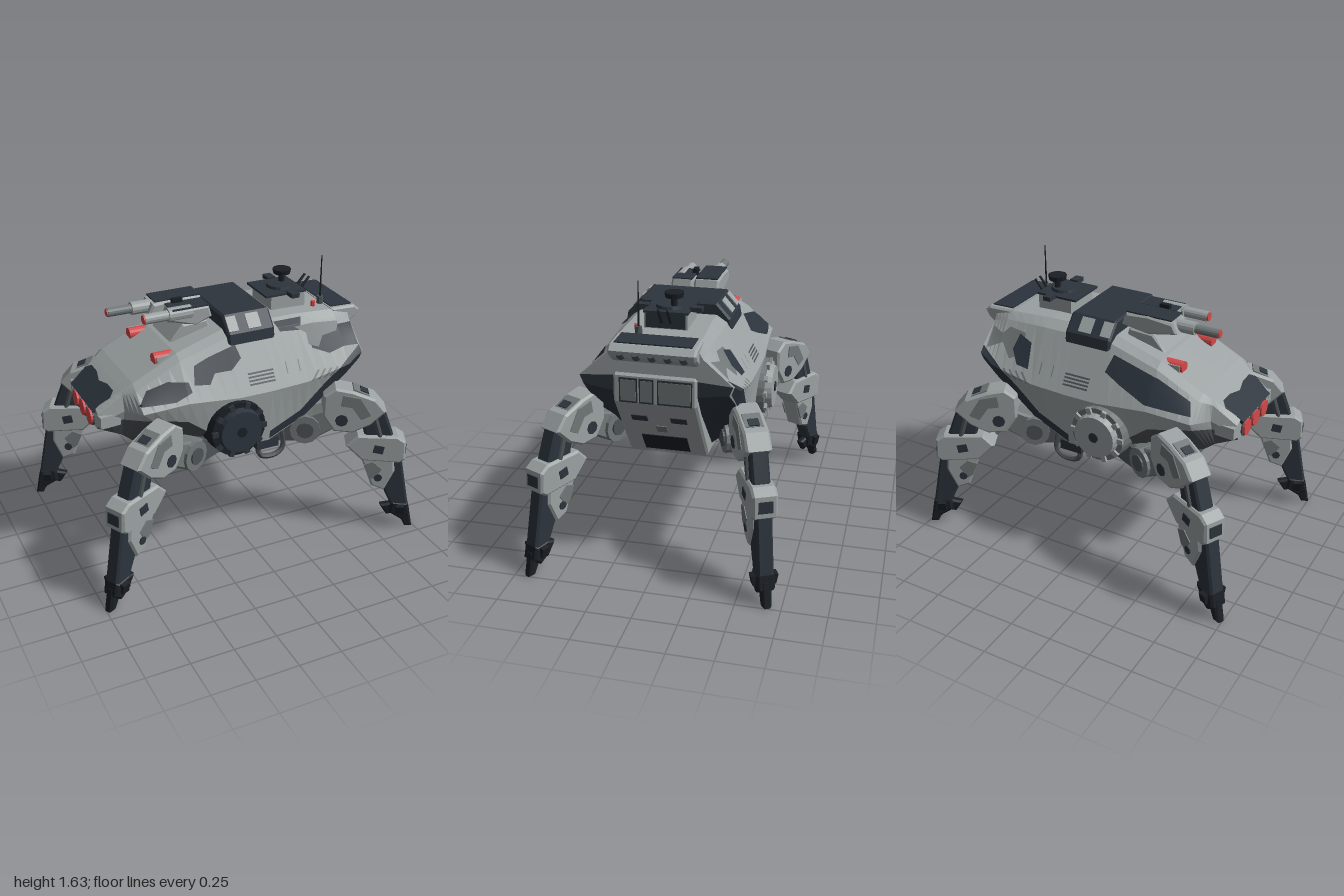
import * as THREE from 'three';

const mat = (name, color) => new THREE.MeshStandardMaterial({ name, color, flatShading: true });
const M = {
  light: mat('lightGrey', 0x9ca2a3), mid: mat('midGrey', 0x717777), steel: mat('steelGrey', 0x4d5356),
  dark: mat('darkSlate', 0x2c343d), black: mat('nearBlack', 0x1b2026), red: mat('signalRed', 0xd24a4b),
};

// Hull stations: x, then [half width, height] for roof, shoulder, waist, lower side, belly
const STATIONS = [
  [-0.84, [.19, .99], [.23, .97], [.24, .92], [.22, .89], [.20, .87]],
  [-0.70, [.23, 1.09], [.25, 1.07], [.27, .98], [.25, .92], [.20, .80]],
  [-0.64, [.25, 1.13], [.30, 1.10], [.41, 1.01], [.38, .96], [.20, .75]],
  [-0.38, [.25, 1.26], [.30, 1.23], [.43, 1.03], [.41, .91], [.22, .65]],
  [-0.08, [.22, 1.34], [.28, 1.31], [.45, 1.01], [.42, .68], [.25, .59]],
  [0.12, [.22, 1.35], [.28, 1.31], [.45, 1.01], [.42, .68], [.25, .59]],
  [0.35, [.22, 1.35], [.28, 1.31], [.45, 1.02], [.41, .78], [.22, .62]],
  [0.62, [.23, 1.34], [.27, 1.30], [.44, 1.07], [.41, 1.00], [.20, .90]],
  [0.72, [.23, 1.32], [.26, 1.27], [.42, 1.13], [.40, 1.08], [.20, 1.05]],
];

// Half cross-section at x, as [z, y] from roof centre to belly centre
function section(x) {
  let i = 0;
  while (i < STATIONS.length - 2 && x > STATIONS[i + 1][0]) i++;
  const a = STATIONS[i], b = STATIONS[i + 1];
  const t = THREE.MathUtils.clamp((x - a[0]) / (b[0] - a[0]), 0, 1);
  const p = a.slice(1).map((q, k) => q.map((v, j) => v + (b[k + 1][j] - v) * t));
  return [[0, p[0][1]], ...p, [0, p[4][1]]];
}
// Surface lookups: axis 1 gives z from height, axis 0 gives height from z
function lookup(x, value, axis) {
  const s = section(x);
  for (let k = axis; k < 5; k++) {
    const a = s[k][axis], b = s[k + 1][axis];
    if ((value - a) * (value - b) <= 0 && a !== b)
      return s[k][1 - axis] + (s[k + 1][1 - axis] - s[k][1 - axis]) * (value - a) / (b - a);
  }
  return axis ? s[1][0] : s[3][1];
}

function buildHull() {
  const pos = [[], [], []]; // light shell, dark rear undercut, steel belly
  const ring = x => {
    const h = section(x).map(([z, y]) => [x, y, z]);
    return [...h, ...h.slice(1, 6).reverse().map(([a, y, z]) => [a, y, -z])];
  };
  const xs = [];
  for (let i = 0; i < STATIONS.length - 1; i++)
    for (let j = 0; j < 4; j++) xs.push(THREE.MathUtils.lerp(STATIONS[i][0], STATIONS[i + 1][0], j / 4));
  xs.push(0.72);
  const rings = xs.map(ring);
  const band = (i, x) => i < 4 || i > 7 ? 0 : (i === 4 || i === 7) && x > .1 ? 1 : 2;
  for (let r = 0; r < rings.length - 1; r++)
    for (let i = 0; i < 12; i++) {
      const a = rings[r], b = rings[r + 1], j = (i + 1) % 12;
      pos[band(i, xs[r])].push(...a[i], ...a[j], ...b[j], ...a[i], ...b[j], ...b[i]);
    }
  const first = rings[0], last = rings[rings.length - 1];
  for (let i = 0; i < 12; i++) {
    const j = (i + 1) % 12;
    pos[0].push(-.84, .93, 0, ...first[j], ...first[i]);
    pos[i >= 3 && i <= 8 ? 1 : 0].push(.72, 1.16, 0, ...last[i], ...last[j]);
  }
  const g = new THREE.BufferGeometry();
  g.setAttribute('position', new THREE.Float32BufferAttribute(pos.flat(), 3));
  let start = 0;
  pos.forEach((p, k) => { g.addGroup(start, p.length / 3, k); start += p.length / 3; });
  g.computeVertexNormals();
  return new THREE.Mesh(g, [M.light, M.dark, M.steel]);
}

const shape = pts => new THREE.Shape(pts.map(p => new THREE.Vector2(...p)));

// Camouflage plate draped on the hull: side 1 or -1 takes (x, y), side 0 takes (x, z) from above
function patch(pts, side, lift = 0.006) {
  const flip = side === 0 ? -1 : 1;
  const src = new THREE.ShapeGeometry(shape(pts.map(([x, v]) => [x, v * flip]))).toNonIndexed().attributes.position;
  const out = [];
  const split = (a, b, c, n) => {
    if (n === 0) return out.push(...(side < 0 ? [a, c, b] : [a, b, c]));
    const ab = a.clone().lerp(b, .5), bc = b.clone().lerp(c, .5), ca = c.clone().lerp(a, .5);
    [[a, ab, ca], [ab, b, bc], [ca, bc, c], [ab, bc, ca]].forEach(t => split(...t, n - 1));
  };
  const v = i => new THREE.Vector2(src.getX(i), src.getY(i));
  for (let i = 0; i < src.count; i += 3) split(v(i), v(i + 1), v(i + 2), 4);
  const p = out.flatMap(({ x, y }) => side === 0
    ? [x, lookup(x, Math.abs(y), 0) + lift, -y]
    : [x, y + lift * .5, side * (lookup(x, y, 1) + lift)]);
  const r = new THREE.BufferGeometry();
  r.setAttribute('position', new THREE.Float32BufferAttribute(p, 3));
  r.computeVertexNormals();
  return r;
}

// Bevelled plate from an outline in the xy plane, centred on z = 0
function slab(pts, width, bevel = 0.012) {
  const g = new THREE.ExtrudeGeometry(shape(pts), {
    depth: width - 2 * bevel, bevelThickness: bevel, bevelSize: bevel, bevelOffset: -bevel, bevelSegments: 1,
  });
  return g.translate(0, 0, -width / 2 + bevel);
}
function add(parent, name, geo, material, x = 0, y = 0, z = 0, rx = 0, ry = 0, rz = 0) {
  const m = new THREE.Mesh(geo, material);
  m.name = name;
  m.position.set(x, y, z);
  m.rotation.set(rx, ry, rz);
  parent.add(m);
}
const box = (w, h, d) => new THREE.BoxGeometry(w, h, d);
const cyl = (r1, r2, h, n = 20) => new THREE.CylinderGeometry(r1, r2, h, n);
const H = Math.PI / 2;

// Leg drawn in its own plane, +x pointing outwards from the hip
function buildLeg() {
  const leg = new THREE.Group();
  const R = pts => pts.map(([x, y]) => [(x - .38) / .894, y]);
  const part = (name, pts, w, m) => add(leg, name, slab(R(pts), w), m);
  add(leg, 'hipDrum', cyl(.09, .09, .15, 12), M.mid, 0, .70, 0, H);
  add(leg, 'hipAxle', cyl(.05, .05, .17, 12), M.steel, 0, .70, 0, H);
  add(leg, 'hipMount', box(.24, .13, .13), M.steel, -.12, .69, 0);
  part('hipArm', [[.30, .76], [.42, .80], [.56, .86], [.60, .74], [.42, .62], [.32, .62]], .11, M.mid);
  part('kneeHousing', [[.47, .92], [.53, .97], [.62, .95], [.74, .90], [.80, .82], [.72, .73], [.63, .68], [.53, .69], [.47, .79]], .145, M.light);
  part('thigh', [[.66, .84], [.79, .83], [.86, .62], [.71, .58]], .10, M.dark);
  part('shinCollar', [[.60, .59], [.66, .66], [.87, .655], [.915, .62], [.92, .50], [.89, .475], [.69, .49]], .14, M.light);
  part('shinArmour', [[.68, .52], [.86, .52], [.87, .41], [.82, .28], [.75, .31]], .12, M.light);
  part('shank', [[.77, .5], [.90, .52], [.96, .17], [.89, .11], [.80, .32]], .09, M.dark);
  part('ankle', [[.87, .19], [.96, .18], [.975, .10], [.93, .06], [.86, .11]], .10, M.black);
  part('footSpike', [[.89, .14], [.97, .14], [.995, .0], [.955, .0]], .055, M.black);
  part('heelSpur', [[.81, .15], [.90, .17], [.90, .09], [.85, .08]], .05, M.black);
  for (const s of [1, -1]) {
    add(leg, 'ankleToe', box(.05, .06, .03), M.black, .60, .14, s * .055, s * .2);
    add(leg, 'kneeBolt', cyl(.038, .038, .008, 8), M.dark, .21, .765, s * .0735, H);
    add(leg, 'kneeCamo', slab(R([[.57, .93], [.66, .91], [.72, .80], [.67, .77], [.62, .85], [.56, .86]]), .008, .001), M.mid, 0, 0, s * .0735);
    add(leg, 'collarVent', box(.06, .05, .008), M.dark, .44, .57, s * .071, 0, 0, -.2);
    add(leg, 'shinBolt', cyl(.025, .025, .008, 8), M.dark, .45, .37, s * .062, H);
    add(leg, 'shinCamo', slab(R([[.70, .46], [.75, .48], [.80, .43], [.76, .36], [.73, .38]]), .008, .001), M.mid, 0, 0, s * .061);
    add(leg, 'thighRod', cyl(.015, .015, .26, 8), M.steel, .43, .70, s * .052, 0, 0, .3);
  }
  add(leg, 'kneeTopPlate', box(.10, .008, .10), M.mid, .32, .932, 0, 0, 0, -.41);
  add(leg, 'kneeTopHatch', box(.05, .008, .06), M.dark, .34, .93, 0, 0, 0, -.41);
  add(leg, 'collarHatch', box(.008, .065, .08), M.dark, .603, .56, 0, 0, 0, .046);
  return leg;
}

export function createModel() {
  const model = new THREE.Group();
  model.name = 'walker';
  const hull = buildHull();
  hull.name = 'hull';
  model.add(hull);

  // Side panels shared by both flanks
  const camo = (name, m, side, pts, lift) => add(model, name, patch(pts, side, lift), m);
  for (const s of [1, -1]) {
    camo('rearSkirt', M.dark, s, [[.715, 1.16], [.71, 1.08], [.62, 1.0], [.36, .79], [.12, .69], [.12, .74], [.32, .83], [.46, .97], [.56, 1.06]]);
    for (let i = 0; i < 4; i++) {
      camo('louvre', M.steel, s, [[-.01, 1.057 + i * .018], [.15, 1.057 + i * .018], [.15, 1.066 + i * .018], [-.01, 1.066 + i * .018]]);
      camo('slashVent', M.mid, s, [[.37 + i * .04, 1.02], [.385 + i * .04, 1.02], [.435 + i * .04, 1.07], [.42 + i * .04, 1.07]]);
    }
    for (const x of [.23, .31]) camo('panelLine', M.mid, s, [[x, 1.08], [x + .006, 1.08], [x + .006, 1.14], [x, 1.14]]);
  }
  // Camouflage, different on each flank
  camo('frontCamo', M.dark, 1, [[-.65, 1.04], [-.59, 1.105], [-.47, 1.14], [-.36, 1.13], [-.35, 1.08], [-.45, 1.045]]);
  camo('shoulderCamo', M.dark, 1, [[-.33, 1.11], [-.31, 1.20], [-.22, 1.23], [-.05, 1.27], [-.03, 1.20], [-.1, 1.15], [-.2, 1.15], [-.24, 1.10]]);
  camo('rearCamo', M.dark, 1, [[.40, 1.26], [.42, 1.18], [.52, 1.14], [.62, 1.16], [.71, 1.16], [.715, 1.26], [.6, 1.27], [.5, 1.25]]);
  camo('roofEdgeCamo', M.dark, 1, [[.22, 1.335], [.24, 1.29], [.36, 1.28], [.40, 1.335]]);
  camo('rearCamoGrey', M.mid, 1, [[.33, 1.30], [.45, 1.30], [.62, 1.285], [.60, 1.24], [.5, 1.23], [.46, 1.18], [.40, 1.20], [.40, 1.26]], .009);
  camo('longCamo', M.dark, -1, [[-.63, 1.04], [-.60, 1.10], [-.40, 1.19], [-.12, 1.26], [-.09, 1.17], [-.20, 1.12], [-.36, 1.06]]);
  camo('rearCamoGrey', M.mid, -1, [[.44, 1.16], [.47, 1.26], [.58, 1.27], [.62, 1.23], [.70, 1.25], [.69, 1.15], [.60, 1.19], [.53, 1.12]]);
  camo('rearCamoDark', M.dark, -1, [[.39, 1.09], [.41, 1.22], [.50, 1.25], [.52, 1.17], [.47, 1.10]], .009);

  // Nose with its row of lamps
  for (const s of [1, -1]) {
    camo('nosePlate', M.dark, 0, [[-.835, 0], [-.75, 0], [-.73, s * .09], [-.73, s * .18], [-.76, s * .215], [-.835, s * .19]]);
    add(model, 'noseCheek', box(.12, .07, .05), M.light, -.78, .93, s * .235, 0, s * .1);
  }
  add(model, 'noseLip', box(.05, .02, .38), M.dark, -.835, .985, 0, 0, 0, .6);
  for (const z of [-.12, 0, .12]) {
    add(model, 'lampHousing', cyl(.055, .055, .02, 16), M.steel, -.838, .915, z, 0, 0, H);
    add(model, 'lamp', cyl(.048, .048, .025, 16), M.red, -.848, .915, z, 0, 0, H);
  }

  // Side hubs, with a dark face on one side
  for (const s of [1, -1]) {
    const hub = new THREE.Group();
    hub.name = 'sideHub';
    hub.position.set(-.1, .83, s * .4);
    hub.rotation.x = s * H;
    model.add(hub);
    add(hub, 'hubBase', cyl(.165, .18, .12, 24), s > 0 ? M.black : M.mid, 0, .015, 0);
    add(hub, 'hubFace', cyl(.125, .135, .04, 24), s > 0 ? M.dark : M.light, 0, .095, 0);
    add(hub, 'hubCap', cyl(.03, .03, .008, 12), s > 0 ? M.black : M.dark, 0, .117, 0);
    for (let i = 0; i < 10; i++) {
      const a = i * Math.PI / 5;
      add(hub, 'hubLug', box(.035, .02, .03), s > 0 ? M.dark : M.light, Math.cos(a) * .15, .08, Math.sin(a) * .15, 0, -a);
    }
  }

  // Roof hatch with sloping shoulders
  add(model, 'roofHatch', slab([[-.31, 1.27], [-.30, 1.33], [-.22, 1.42], [.22, 1.42], [.30, 1.33], [.31, 1.27]], .29), M.dark, .06, 0, 0, 0, H);
  for (const s of [1, -1]) for (const [x, w] of [[-.045, .06], [.085, .08]])
    add(model, 'hatchCamo', box(w, .008, .09), M.light, x, 1.377, s * .261, s * .844);

  // Twin-barrel gun
  add(model, 'gunMount', slab([[-.38, 1.24], [-.28, 1.36], [-.13, 1.37], [-.10, 1.28]], .28), M.light, 0, 0, -.02);
  add(model, 'gunHousing', slab([[-.43, 1.39], [-.40, 1.45], [-.25, 1.465], [-.11, 1.455], [-.08, 1.38], [-.25, 1.355]], .15), M.light, 0, 0, -.09);
  add(model, 'gunSideBox', slab([[-.36, 1.39], [-.34, 1.45], [-.12, 1.45], [-.10, 1.38], [-.20, 1.34]], .13), M.light, 0, 0, .06);
  add(model, 'gunRoof', box(.28, .008, .13), M.dark, -.25, 1.463, -.09);
  add(model, 'sideBoxRoof', box(.22, .008, .12), M.dark, -.23, 1.452, .06);
  add(model, 'gunSight', box(.06, .06, .03), M.black, -.27, 1.45, .01);
  for (const [x, z, r, m] of [[-.65, -.09, .026, M.mid], [-.50, .09, .03, M.light]]) {
    add(model, 'barrelSleeve', cyl(r + .012, r + .012, .14, 14), M.light, x + .21, 1.42, z, 0, 0, H);
    add(model, 'barrel', cyl(r, r, .18, 14), m, x + .09, 1.42, z, 0, 0, H);
    add(model, 'muzzle', cyl(r - .004, r - .004, .008, 14), M.red, x - .003, 1.42, z, 0, 0, H);
  }

  // Signal lamps on the bonnet: red drums behind a light side cheek
  for (const s of [1, -1]) {
    add(model, 'signalDrum', cyl(.036, .036, .11, 14), M.red, -.44, 1.222, s * .19, 0, 0, H);
    add(model, 'signalBody', box(.12, .06, .07), M.light, -.33, 1.225, s * .19);
    add(model, 'signalCheek', box(.10, .06, .008), M.light, -.435, 1.215, s * .23);
  }

  // Sensor turret, whip antenna and aerial stubs
  add(model, 'sensorBase', box(.22, .09, .24), M.light, .385, 1.385, 0);
  add(model, 'sensorBack', box(.008, .08, .22), M.dark, .497, 1.39, 0);
  add(model, 'sensorLid', box(.26, .012, .25), M.dark, .37, 1.436, 0);
  add(model, 'sensorDisc', cyl(.075, .08, .016, 16), M.dark, .39, 1.45, 0);
  add(model, 'sensorStem', cyl(.018, .018, .06, 8), M.black, .42, 1.48, -.03);
  add(model, 'sensorHead', cyl(.055, .05, .028, 12), M.black, .42, 1.52, -.03);
  add(model, 'antennaBase', cyl(.018, .022, .05, 8), M.steel, .60, 1.36, .12);
  add(model, 'antenna', cyl(.003, .006, .28, 6), M.black, .60, 1.495, .12);
  add(model, 'beacon', cyl(.014, .014, .03, 8), M.red, .535, 1.36, .15);
  for (const z of [-.03, .02]) add(model, 'aerialStub', cyl(.007, .009, .12, 6), M.black, .54, 1.43, z, 0, 0, -.7);
  for (const s of [1, -1]) add(model, 'sensorArm', box(.05, .025, .07), M.dark, .40, 1.44, s * .15);

  // Rear spoiler and its row of nozzles
  add(model, 'spoiler', slab([[.61, 1.345], [.77, 1.34], [.805, 1.31], [.78, 1.27], [.71, 1.22], [.62, 1.24]], .48), M.light);
  add(model, 'spoilerDeck', box(.14, .008, .42), M.dark, .69, 1.345, 0, 0, 0, -.03);
  for (let i = -2; i <= 2; i++) add(model, 'nozzle', cyl(.02, .026, .05, 10), M.steel, .785, 1.29, i * .085, 0, 0, -.9);

  // Rear cabin, windows, vents and grille
  add(model, 'rearCabin', slab([[.45, 1.20], [.70, 1.18], [.735, 1.15], [.735, 1.0], [.44, .59], [.2, .59]], .46), M.light);
  for (const [z, w] of [[.145, .10], [.045, .08], [-.11, .19]]) {
    add(model, 'windowFrame', box(.006, .14, w), M.dark, .736, 1.07, z);
    add(model, 'windowPane', box(.006, .12, w - .014), M.mid, .738, 1.07, z);
  }
  const slope = (name, t, z, h, w, m) =>
    add(model, name, box(h, .008, w), m, .735 - .295 * t, 1.0 - .41 * t, z, 0, 0, Math.atan2(.41, .295));
  slope('rearGrille', .80, 0, .15, .26, M.black);
  slope('rearPlate', .5, 0, .06, .06, M.mid);
  for (const s of [1, -1]) slope('rearVent', .3, s * .11, .05, .09, M.dark);

  // Undercarriage and towing loops
  add(model, 'chassis', box(.72, .12, .40), M.dark, -.04, .64, 0);
  add(model, 'bellyPlate', box(.68, .03, .38), M.steel, -.04, .575, 0);
  add(model, 'frontChassis', box(.2, .14, .3), M.steel, -.46, .69, 0, 0, 0, -.35);
  for (const s of [1, -1]) {
    const loop = new THREE.CatmullRomCurve3([[.07, .68], [.09, .56], [.14, .54], [.20, .545], [.24, .58], [.23, .70]].map(([x, y]) => new THREE.Vector3(x, y, s * .37)));
    add(model, 'towLoop', new THREE.TubeGeometry(loop, 16, .016, 6), M.steel);
    add(model, 'towBracket', box(.14, .06, .06), M.dark, .12, .65, s * .38);
  }

  // Four legs
  for (const sx of [1, -1]) for (const sz of [1, -1]) {
    const leg = buildLeg();
    leg.name = (sz > 0 ? 'front' : 'back') + (sx > 0 ? 'Left' : 'Right') + 'Leg';
    leg.position.set(sx * .38, 0, sz * .375);
    leg.rotation.y = Math.atan2(-sz * .44, sx * .894);
    model.add(leg);
  }
  return model;
}
